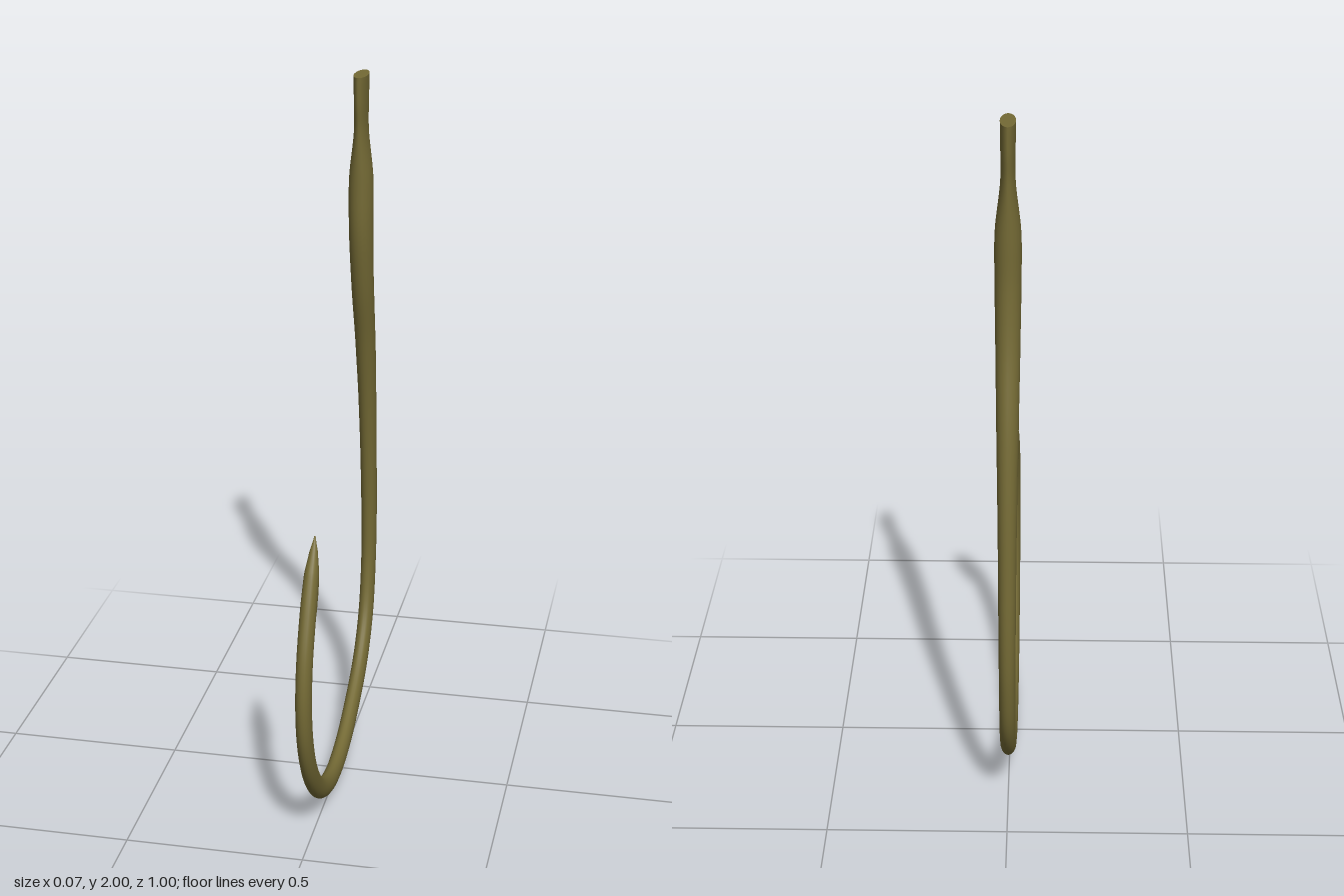
import * as THREE from 'three';
import { mergeVertices } from 'three/addons/utils/BufferGeometryUtils.js';

const SIDES = 20;

// Sweep an elliptical section along a path in the yz plane.
// Each row: [z, y, half width in the plane, half width in x]
function sweep(rows, steps) {
  const path = new THREE.CatmullRomCurve3(rows.map(([z, y]) => new THREE.Vector3(0, y, z)));
  const size = new THREE.CatmullRomCurve3(rows.map(([, , a, b]) => new THREE.Vector3(a, b, 0)), false, 'catmullrom', 0.3);
  const pos = [], index = [];
  for (let i = 0; i <= steps; i++) {
    const t = i / steps;
    const p = path.getPoint(t), d = path.getTangent(t), s = size.getPoint(t);
    if (i === 0) d.set(0, -1, 0);
    for (let j = 0; j < SIDES; j++) {
      const a = (j / SIDES) * Math.PI * 2;
      const u = Math.cos(a) * s.x, v = Math.sin(a) * s.y;
      pos.push(v, p.y + d.z * u, p.z - d.y * u);
      if (i < steps) {
        const k = (j + 1) % SIDES, r = i * SIDES, q = r + SIDES;
        index.push(r + j, r + k, q + j, r + k, q + k, q + j);
      }
    }
  }
  const geo = new THREE.BufferGeometry();
  geo.setAttribute('position', new THREE.Float32BufferAttribute(pos, 3));
  geo.setIndex(index);
  const out = mergeVertices(geo, 1e-5);
  out.computeVertexNormals();
  return out;
}

export function createModel() {
  const group = new THREE.Group();
  group.name = 'fishHook';
  const material = new THREE.MeshStandardMaterial({ color: 0x746a35, side: THREE.DoubleSide });
  const add = (name, geo) => {
    const mesh = new THREE.Mesh(geo, material);
    mesh.name = name;
    group.add(mesh);
    return mesh;
  };

  // Shank, bend and point in one continuous sweep
  add('shankBendAndPoint', sweep([
    [-0.318, 2.0, 0.055, 0.02],
    [-0.318, 1.93, 0.053, 0.019],
    [-0.319, 1.85, 0.045, 0.019],
    [-0.319, 1.7, 0.044, 0.034],
    [-0.321, 1.56, 0.043, 0.034],
    [-0.345, 1.4, 0.039, 0.032],
    [-0.395, 1.2, 0.036, 0.029],
    [-0.432, 1.0, 0.033, 0.026],
    [-0.456, 0.8, 0.031, 0.024],
    [-0.469, 0.6, 0.031, 0.023],
    [-0.461, 0.45, 0.031, 0.022],
    [-0.42, 0.3, 0.033, 0.022],
    [-0.33, 0.185, 0.034, 0.022],
    [-0.18, 0.095, 0.033, 0.022],
    [-0.06, 0.05, 0.031, 0.022],
    [0.07, 0.034, 0.031, 0.022],
    [0.19, 0.056, 0.031, 0.022],
    [0.3, 0.117, 0.031, 0.022],
    [0.395, 0.22, 0.031, 0.022],
    [0.452, 0.34, 0.031, 0.022],
    [0.47, 0.46, 0.03, 0.022],
    [0.455, 0.585, 0.029, 0.022],
    [0.411, 0.705, 0.028, 0.022],
    [0.364, 0.8, 0.026, 0.02],
    [0.337, 0.85, 0.014, 0.013],
    [0.315, 0.898, 0.001, 0.002],
  ], 150));

  // Barb splitting backwards off the point
  add('barb', sweep([
    [0.317, 0.89, 0.002, 0.003],
    [0.342, 0.81, 0.016, 0.016],
    [0.358, 0.76, 0.022, 0.018],
    [0.367, 0.71, 0.019, 0.016],
    [0.366, 0.67, 0.01, 0.012],
    [0.365, 0.635, 0.001, 0.006],
  ], 30));

  // Flat cap on the flattened end
  const cap = add('flattenedEndCap', new THREE.CircleGeometry(1, SIDES));
  cap.geometry.rotateX(-Math.PI / 2).scale(0.02, 1, 0.055);
  cap.position.set(0, 2, -0.318);

  return group;
}
